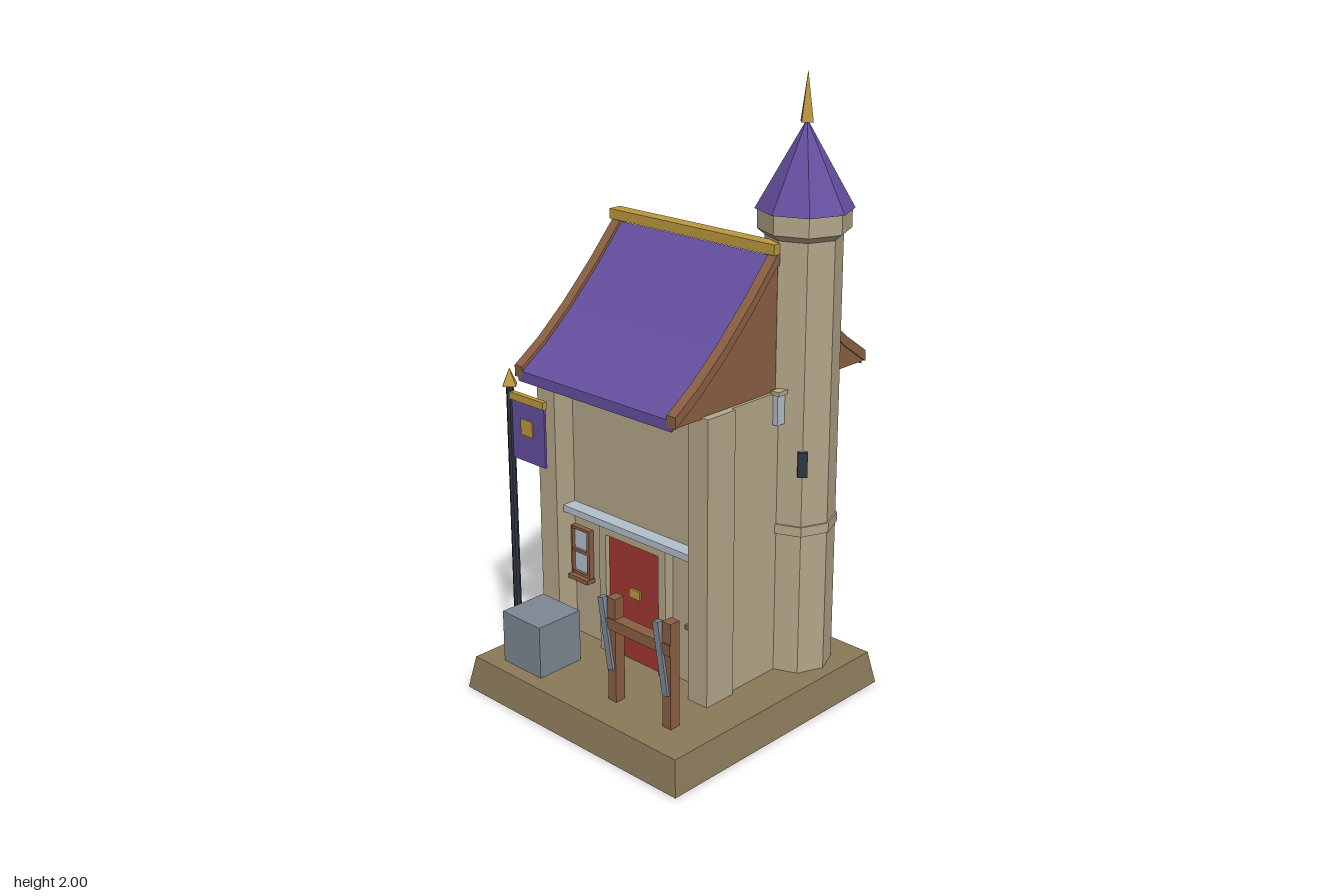
import * as THREE from 'three';

const mat = (name, color) => {
  const m = new THREE.MeshStandardMaterial({ color });
  m.name = name;
  return m;
};

export function createModel() {
  const root = new THREE.Group();
  root.name = 'towerHouse';
  const stone = mat('stone', 0xb5a88a), earth = mat('earth', 0x8b7a5a), purple = mat('purple', 0x654f9f),
    wood = mat('wood', 0x8a5f43), gold = mat('gold', 0xbd983f), red = mat('red', 0xa33632),
    steel = mat('steel', 0x7d8894), pale = mat('pale', 0xb4c0cc), dark = mat('dark', 0x2e3642);

  const add = (name, geo, material, parent = root) => {
    const m = new THREE.Mesh(geo, material);
    m.name = name;
    parent.add(m);
    return m;
  };
  // Box given by its min and max on each axis
  const box = (name, material, x0, x1, y0, y1, z0, z1, parent = root) => {
    const m = add(name, new THREE.BoxGeometry(x1 - x0, y1 - y0, z1 - z0), material, parent);
    m.position.set((x0 + x1) / 2, (y0 + y1) / 2, (z0 + z1) / 2);
    return m;
  };
  // Faceted cylinder between two heights
  const prism = (name, material, rTop, rBottom, y0, y1, x, z, sides, parent = root) => {
    const g = new THREE.CylinderGeometry(rTop, rBottom, y1 - y0, sides).toNonIndexed();
    g.computeVertexNormals();
    const m = add(name, g, material, parent);
    m.position.set(x, (y0 + y1) / 2, z);
    return m;
  };

  // Sloped base
  const baseGeo = new THREE.BoxGeometry(0.94, 0.11, 0.945).toNonIndexed();
  const p = baseGeo.attributes.position;
  for (let i = 0; i < p.count; i++) {
    if (p.getY(i) > 0) p.setXYZ(i, Math.sign(p.getX(i)) * 0.45, p.getY(i), Math.sign(p.getZ(i)) * 0.4525);
  }
  baseGeo.computeVertexNormals();
  add('base', baseGeo, earth).position.set(0, 0.055, 0.054);

  // House body with front corner piers
  box('houseBody', stone, -0.41, 0.3, 0.11, 1.05, -0.345, 0.15);
  box('cornerPier', stone, -0.43, -0.35, 0.11, 1.05, 0.11, 0.228);
  box('cornerPier', stone, 0.235, 0.315, 0.11, 1.05, 0.11, 0.228);
  box('frontLedge', pale, -0.35, 0.235, 0.557, 0.58, 0.15, 0.2);

  // Door
  const door = new THREE.Group();
  door.name = 'door';
  root.add(door);
  box('leftJamb', stone, -0.2, -0.17, 0.11, 0.557, 0.15, 0.185, door);
  box('rightJamb', stone, 0.066, 0.097, 0.11, 0.557, 0.15, 0.185, door);
  box('lintel', stone, -0.17, 0.066, 0.525, 0.557, 0.15, 0.185, door);
  box('doorPanel', red, -0.17, 0.066, 0.11, 0.525, 0.15, 0.168, door);
  box('doorPlate', gold, -0.075, -0.028, 0.335, 0.366, 0.168, 0.175, door);

  // Front windows
  for (const cx of [-0.31, 0.23]) {
    const w = new THREE.Group();
    w.name = 'window';
    w.position.x = cx;
    root.add(w);
    box('glass', pale, -0.038, 0.038, 0.335, 0.495, 0.15, 0.158, w);
    for (const s of [-1, 1]) box('sideFrame', wood, s * 0.04 - 0.006, s * 0.04 + 0.006, 0.33, 0.5, 0.15, 0.17, w);
    for (const y of [0.33, 0.41, 0.49]) box('crossFrame', wood, -0.04, 0.04, y, y + 0.01, 0.15, 0.168, w);
    box('sill', wood, -0.05, 0.05, 0.315, 0.33, 0.15, 0.185, w);
  }

  // Small side window next to the tower
  box('sideWindow', pale, 0.3, 0.318, 0.95, 1.048, -0.14, -0.075);
  box('sideWindowCap', stone, 0.296, 0.326, 1.046, 1.06, -0.14, -0.07);

  // Swept roof: mirrored profile in z and y
  const ridgeZ = -0.094;
  const half = [[0, 1.475], [0.11, 1.353], [0.23, 1.235], [0.335, 1.145], [0.436, 1.075]];
  const curve = [...half.slice(1).reverse().map(([d, y]) => [ridgeZ - d, y]), ...half.map(([d, y]) => [ridgeZ + d, y])];
  const alongX = (name, material, outline, x0, x1) => {
    const shape = new THREE.Shape(outline.map(([z, y]) => new THREE.Vector2(z, y)));
    const m = add(name, new THREE.ExtrudeGeometry(shape, { depth: x1 - x0, bevelEnabled: false }), material);
    m.rotation.y = -Math.PI / 2;
    m.position.x = x1;
  };
  const strip = (up, down) => [
    ...curve.map(([z, y]) => [z, y + up]),
    ...curve.map(([z, y]) => [z, y - down]).reverse(),
  ];
  alongX('roofSlab', purple, strip(-0.008, 0.042), -0.385, 0.28);
  const gable = [...curve.map(([z, y]) => [z, y - 0.01]), [ridgeZ + 0.43, 1.045], [ridgeZ - 0.43, 1.045]];
  for (const x of [-0.4, 0.26]) {
    alongX('bargeBoard', wood, strip(0.006, 0.03), x, x + 0.035);
    alongX('gable', wood, gable, x + 0.006, x + 0.029);
  }
  box('ridgeBeam', gold, -0.4, 0.295, 1.475, 1.508, -0.12, -0.073);

  // Octagonal tower
  const tower = new THREE.Group();
  tower.name = 'tower';
  tower.position.set(0.29, 0, -0.215);
  root.add(tower);
  prism('towerShaft', stone, 0.118, 0.12, 0.11, 1.54, 0, 0, 8, tower);
  prism('towerBand', stone, 0.125, 0.125, 0.585, 0.617, 0, 0, 8, tower);
  prism('towerCornice', stone, 0.142, 0.142, 1.535, 1.597, 0, 0, 8, tower);
  prism('towerCorbel', stone, 0.142, 0.118, 1.515, 1.535, 0, 0, 8, tower);
  prism('towerRoof', purple, 0.004, 0.15, 1.595, 1.852, 0, 0, 8, tower);
  prism('towerSpike', gold, 0, 0.025, 1.85, 2, 0, 0, 4, tower);
  const slit = box('towerSlit', dark, -0.015, 0.015, 0.785, 0.866, -0.012, 0.012, tower);
  slit.position.x = slit.position.z = 0.083;
  slit.rotation.y = Math.PI / 4;

  // Banner on a pole
  const banner = new THREE.Group();
  banner.name = 'banner';
  root.add(banner);
  prism('pole', dark, 0.012, 0.013, 0.11, 1.025, -0.402, 0.363, 8, banner);
  prism('poleTip', gold, 0, 0.03, 1.02, 1.076, -0.402, 0.363, 4, banner);
  box('crossbar', gold, -0.395, -0.24, 0.978, 1.002, 0.355, 0.372, banner);
  box('cloth', purple, -0.388, -0.24, 0.785, 0.98, 0.36, 0.368, banner);
  box('clothEmblem', gold, -0.347, -0.293, 0.872, 0.925, 0.357, 0.371, banner);

  // Crate
  box('crate', steel, -0.365, -0.19, 0.11, 0.286, 0.285, 0.457);

  // Rack with two leaning blades
  const rack = new THREE.Group();
  rack.name = 'rack';
  root.add(rack);
  box('rackBeam', wood, 0.052, 0.325, 0.355, 0.392, 0.36, 0.4, rack);
  for (const x of [0.057, 0.291]) {
    box('rackPost', wood, x, x + 0.034, 0.11, 0.46, 0.358, 0.396, rack);
    const blade = box('blade', steel, x - 0.013, x + 0.01, 0.22, 0.455, 0.381, 0.405, rack);
    blade.rotation.z = 0.17;
  }
  return root;
}
